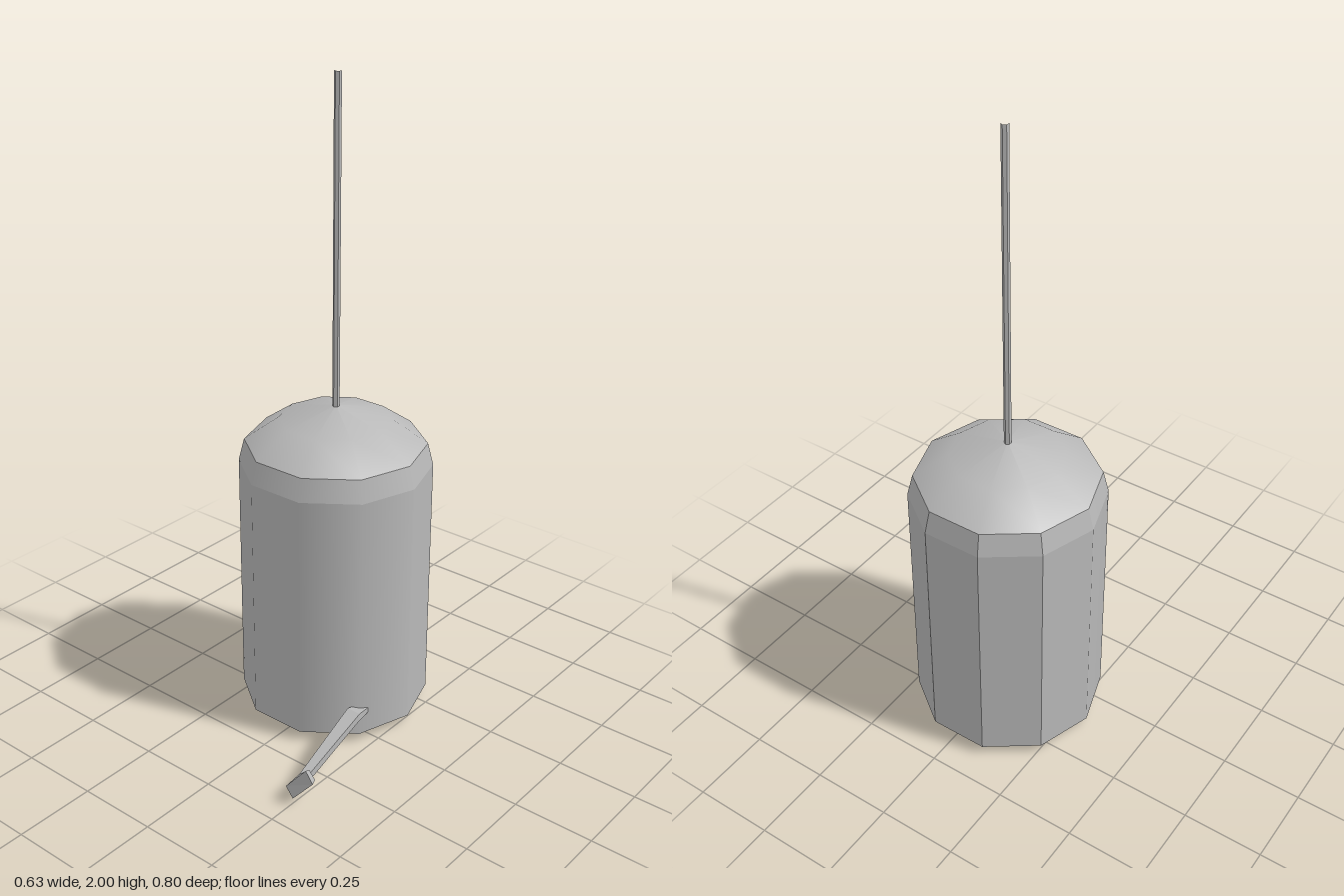
import * as THREE from 'three';

const CX = -0.0215, CZ = -0.119;

// Face each polygon with its own normal
function faceted(geo) {
  const g = geo.index ? geo.toNonIndexed() : geo;
  g.computeVertexNormals();
  return g;
}

// Skin four-cornered sections (counter-clockwise seen from the end) and cap both ends
function loft(sections) {
  const pos = [];
  const quad = (a, b, c, d) => pos.push(...a, ...b, ...c, ...a, ...c, ...d);
  for (let s = 0; s < sections.length - 1; s++) {
    const p = sections[s], q = sections[s + 1];
    for (let i = 0; i < 4; i++) {
      const j = (i + 1) % 4;
      quad(p[i], p[j], q[j], q[i]);
    }
  }
  const first = sections[0], last = sections[sections.length - 1];
  quad(first[3], first[2], first[1], first[0]);
  quad(last[0], last[1], last[2], last[3]);
  const g = new THREE.BufferGeometry();
  g.setAttribute('position', new THREE.Float32BufferAttribute(pos, 3));
  return faceted(g);
}

export function createModel() {
  const model = new THREE.Group();
  const grey = new THREE.MeshStandardMaterial({ color: 0xb8b8b8 });
  grey.name = 'grey';

  const add = (name, geo, x = 0, y = 0, z = 0) => {
    const mesh = new THREE.Mesh(geo, grey);
    mesh.name = name;
    mesh.position.set(x, y, z);
    model.add(mesh);
  };

  // Ten-sided body and shoulder: rounded at the front, faceted at the back
  const tiers = [['body', 0.2955, 0.2955, 0.035, 0.825], ['shoulder', 0.278, 0.2955, 0.825, 0.895]];
  for (const [name, rTop, rBottom, y0, y1] of tiers) {
    const half = (start) => new THREE.CylinderGeometry(rTop, rBottom, y1 - y0, 5, 1, true, start, Math.PI);
    add(name + 'Front', half(-Math.PI / 2), CX, (y0 + y1) / 2, CZ);
    add(name + 'Back', faceted(half(Math.PI / 2)), CX, (y0 + y1) / 2, CZ);
  }

  // Underside
  const base = new THREE.CircleGeometry(0.2955, 10);
  base.rotateX(Math.PI / 2);
  add('base', base, CX, 0.035, CZ);

  // Low smooth dome
  const profile = [[0.278, 0.895], [0.172, 0.97], [0, 1.013]].map(([r, y]) => new THREE.Vector2(r, y));
  add('dome', new THREE.LatheGeometry(profile, 10, Math.PI / 2), CX, 0, CZ);

  // Thin rod rising from the dome
  add('rod', faceted(new THREE.CylinderGeometry(0.011, 0.011, 1, 6, 1, true)), CX, 1.5, CZ);

  // Bent, tapering leg leaving the body near its bottom edge
  const section = (x, y, z, w, h) => [
    [x - w, y - h, z], [x + w, y - h, z], [x + w, y + h, z], [x - w, y + h, z],
  ];
  add('leg', loft([
    section(0.212, 0.113, 0.025, 0.016, 0.008),
    section(0.222, 0.128, 0.09, 0.023, 0.012),
    section(0.235, 0.042, 0.35, 0.013, 0.012),
  ]));

  // Upturned foot, splayed outward, widening towards the sole
  add('foot', loft([
    [[0.222, 0.057, 0.345], [0.246, 0.03, 0.345], [0.302, 0.09, 0.37], [0.28, 0.115, 0.37]],
    [[0.205, 0.03, 0.386], [0.236, 0.004, 0.392], [0.315, 0.095, 0.396], [0.292, 0.134, 0.4]],
  ]));

  return model;
}
